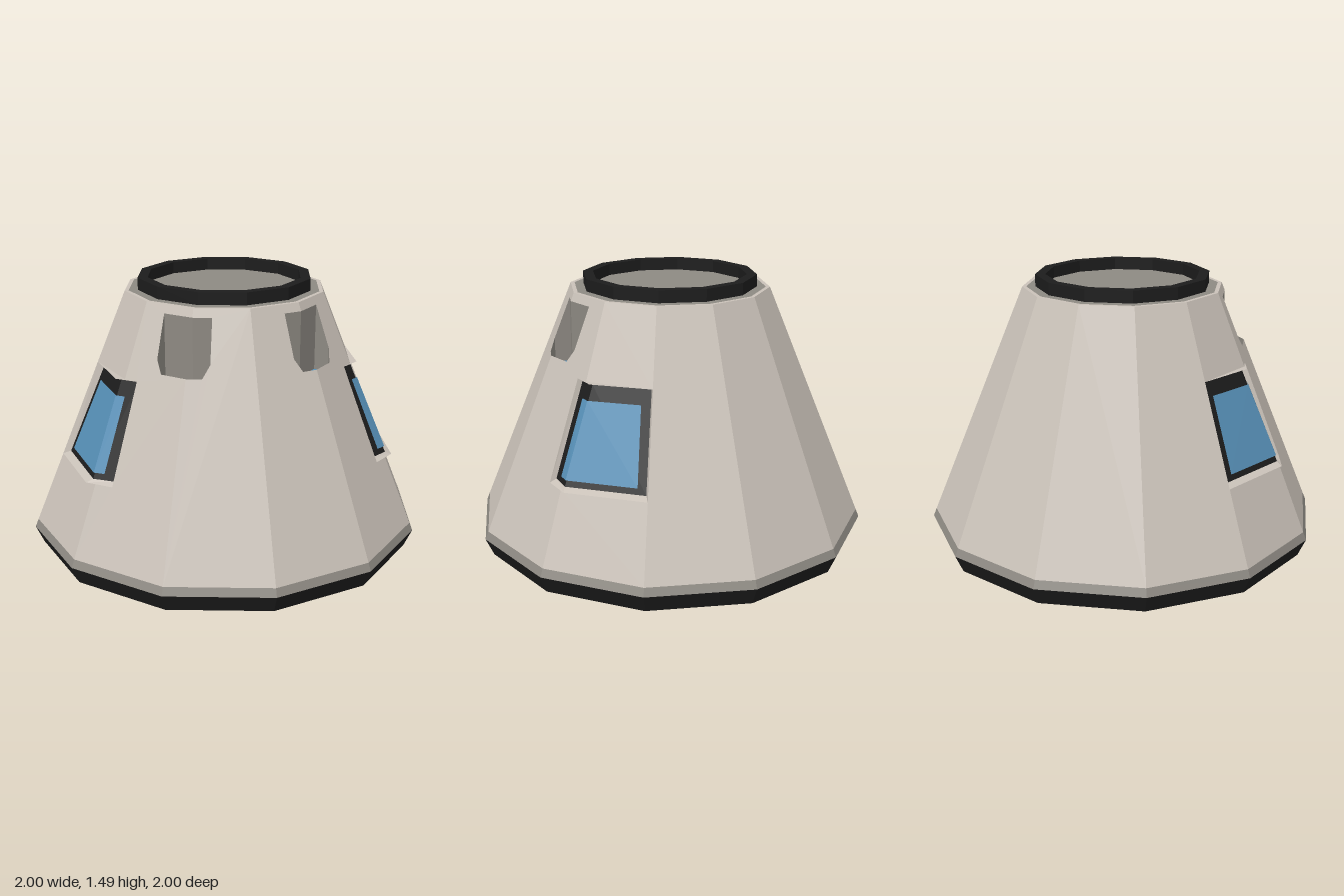
import * as THREE from 'three';

const V = (x, y, z) => new THREE.Vector3(x, y, z);
const mat = (name, color) => {
  const m = new THREE.MeshStandardMaterial({ color });
  m.name = name;
  return m;
};

const Y0 = 0.22, Y1 = 1.43;                 // cone bottom and top
const WIN0 = 0.61, WIN1 = 1.08;             // window opening heights
const radius = y => 1 - 0.5 * (y - Y0) / (Y1 - Y0);
const half = y => radius(y) * Math.sin(Math.PI / 12);

// point on flat facet k of the cone, u measured sideways from its middle
function onFacet(k, u, y) {
  const t = (k + 0.5) * Math.PI / 6, a = radius(y) * Math.cos(Math.PI / 12);
  return V(a * Math.cos(t) - u * Math.sin(t), y, a * Math.sin(t) + u * Math.cos(t));
}

// collects flat polygons, each turned to face a given direction
class Faces {
  constructor() { this.pos = []; }
  add(pts, facing, flat) {
    const tris = flat ? THREE.ShapeUtils.triangulateShape(flat, [])
      : pts.slice(2).map((_, i) => [0, i + 1, i + 2]);
    for (const [i, j, k] of tris) {
      const a = pts[i], b = pts[j], c = pts[k];
      const n = b.clone().sub(a).cross(c.clone().sub(a));
      const order = n.dot(facing) >= 0 ? [a, b, c] : [a, c, b];
      order.forEach(p => this.pos.push(p.x, p.y, p.z));
    }
  }
  mesh(name, material, mirror = false) {
    const p = this.pos.slice();
    if (mirror) for (let i = 0; i < p.length; i += 9) {
      for (let c = 0; c < 3; c++) {
        [p[i + 3 + c], p[i + 6 + c]] = [p[i + 6 + c], p[i + 3 + c]];
        p[i + 3 * c] *= -1;
      }
      // the x values were negated at all three corners after the swap
    }
    const g = new THREE.BufferGeometry();
    g.setAttribute('position', new THREE.Float32BufferAttribute(p, 3));
    g.computeVertexNormals();
    const m = new THREE.Mesh(g, material);
    m.name = name;
    return m;
  }
}

// twelve-sided turned part with flat faces
function turned(name, profile, material) {
  const g = new THREE.LatheGeometry(profile.map(p => new THREE.Vector2(...p)), 12).toNonIndexed();
  g.computeVertexNormals();
  const m = new THREE.Mesh(g, material);
  m.name = name;
  return m;
}

export function createModel() {
  const root = new THREE.Group();
  root.name = 'spaceCapsule';
  const hullMat = mat('hullGrey', 0xc9c1b8);
  const trimMat = mat('trimGrey', 0x8d8982);
  const blackMat = mat('black', 0x1c1c1c);
  const blueMat = mat('blue', 0x568fb6);

  // heat shield with recessed base ring, collars and top hatch
  root.add(
    turned('heatShield', [[0, 0.03], [0.47, 0.03], [0.48, 0], [0.52, 0], [0.52, 0.06],
      [0.74, 0.06], [0.96, 0.13], [1, Y0]], blackMat),
    turned('lowerBand', [[1, Y0], [radius(0.26), 0.26]], trimMat),
    turned('topRim', [[0.5, Y1], [0.48, Y1]], hullMat),
    turned('topDeck', [[0.48, Y1], [0.43, Y1]], trimMat),
    turned('dockingRing', [[0.435, Y1], [0.435, 1.49], [0.385, 1.49], [0.385, Y1]], blackMat),
    turned('hatch', [[0.39, Y1 + 0.002], [0, Y1 + 0.002]], trimMat));

  // thruster notch outline: [distance from the shared facet edge, height]
  const notchA = [[0.155, 1.39], [0.165, 1.19], [0.135, 1.13]];
  const notchB = [[0.09, 1.39], [0.105, 1.19], [0.075, 1.13]];
  const ptA = ([d, y]) => [half(y) - d, y];
  const ptB = ([d, y]) => [d - half(y), y];
  const edge = (side, y) => [side * half(y), y];

  // hull facets, cut around windows and notches
  const front = new Faces(), back = new Faces();
  const facet = (faces, k, outline) => {
    const t = (k + 0.5) * Math.PI / 6;
    faces.add(outline.map(([u, y]) => onFacet(k, u, y)), V(Math.cos(t), 0.4, Math.sin(t)),
      outline.map(([u, y]) => new THREE.Vector2(u, y)));
  };
  const span = (a, b) => [edge(-1, a), edge(1, a), edge(1, b), edge(-1, b)];
  facet(front, 0, span(0.26, WIN0));
  facet(front, 0, span(WIN1, Y1));
  const cut0 = [0.097 - half(WIN0), WIN0], cut1 = [0.069 - half(WIN1), WIN1];
  facet(front, 1, [edge(-1, 0.26), edge(1, 0.26), edge(1, 1.13),
    ...notchA.slice().reverse().map(ptA), edge(1, 1.39), edge(1, Y1),
    edge(-1, Y1), edge(-1, WIN1), cut1, cut0, edge(-1, WIN0)]);
  facet(front, 2, [edge(-1, 0.26), edge(1, 0.26), edge(1, Y1), edge(-1, Y1),
    edge(-1, 1.39), ...notchB.map(ptB), edge(-1, 1.13)]);
  for (let k = 6; k < 12; k++) facet(back, k, span(0.26, Y1));
  root.add(back.mesh('rearHull', hullMat));

  // thruster notch: upright walls around a sunken blue floor
  const walls = new Faces(), floor = new Faces();
  const rim = [onFacet(1, ...edge(1, 1.39)), ...notchB.map(p => onFacet(2, ...ptB(p))),
    onFacet(1, ...edge(1, 1.13)), ...notchA.slice().reverse().map(p => onFacet(1, ...ptA(p)))];
  const low = rim.map(p => V(p.x, 1.07, p.z));
  const mid = V(0.31, 1.07, 0.47);
  rim.forEach((p, i) => {
    const j = (i + 1) % rim.length;
    const inward = mid.clone().sub(low[i].clone().lerp(low[j], 0.5)).setY(0);
    walls.add([p, rim[j], low[j], low[i]], inward);
  });
  floor.add(low, V(0, 1, 0), low.map(p => new THREE.Vector2(p.x, p.z)));

  // window: bent frame, sunken black surround and glass
  const frame = new Faces(), surround = new Faces(), glass = new Faces();
  const out = V(0.9, 0.4, 0.4);
  const outer = [
    [onFacet(0, ...edge(-1, WIN0)), V(0.77, WIN0, 0.4), onFacet(1, ...cut0)],
    [onFacet(0, ...edge(-1, WIN1)), V(0.6, WIN1, 0.3), onFacet(1, ...cut1)]];
  const inner = [
    [V(0.8, 0.625, 0.012), V(0.735, 0.625, 0.4), V(0.64, 0.625, 0.46)],
    [V(0.61, 1.07, 0.01), V(0.57, 1.07, 0.29), V(0.497, 1.07, 0.35)]];
  const loop = g => [...g[0], ...g[1].slice().reverse()];
  const o = loop(outer), n = loop(inner);
  const centre = V(0.69, 0.85, 0.21);
  o.forEach((p, i) => {
    const j = (i + 1) % o.length;
    const toCentre = centre.clone().sub(p.clone().lerp(o[j], 0.5));
    frame.add([p, o[j], n[j], n[i]], toCentre.add(out.clone().multiplyScalar(0.2)));
  });
  // ledges where the frame stands proud of the hull corner
  outer.forEach((row, r) => {
    const corner = onFacet(0, ...edge(1, r ? WIN1 : WIN0));
    frame.add([corner, row[0], row[1]], V(0, r ? 1 : -1, 0));
    frame.add([corner, row[1], row[2]], V(0, r ? 1 : -1, 0));
  });
  const at = (c, s, t) => {
    const a = inner[0][c].clone().lerp(inner[0][c + 1], s);
    return a.lerp(inner[1][c].clone().lerp(inner[1][c + 1], s), t);
  };
  const lift = V(0.006, 0.003, 0.003);
  [[0.1, 1], [0, 0.5]].forEach(([s0, s1], c) => {
    surround.add([at(c, 0, 0), at(c, 1, 0), at(c, 1, 1), at(c, 0, 1)], out);
    glass.add([at(c, s0, 0.06), at(c, s1, 0.06), at(c, s1, 0.84), at(c, s0 * 1.4, 0.84)]
      .map(p => p.add(lift)), out);
  });

  // left side, then its mirror image
  for (const mirror of [false, true]) {
    const side = new THREE.Group();
    side.name = mirror ? 'rightSide' : 'leftSide';
    side.add(
      front.mesh('frontHull', hullMat, mirror),
      walls.mesh('thrusterWalls', trimMat, mirror),
      floor.mesh('thrusterFloor', blueMat, mirror),
      frame.mesh('windowFrame', hullMat, mirror),
      surround.mesh('windowSurround', blackMat, mirror),
      glass.mesh('windowGlass', blueMat, mirror));
    root.add(side);
  }
  return root;
}
